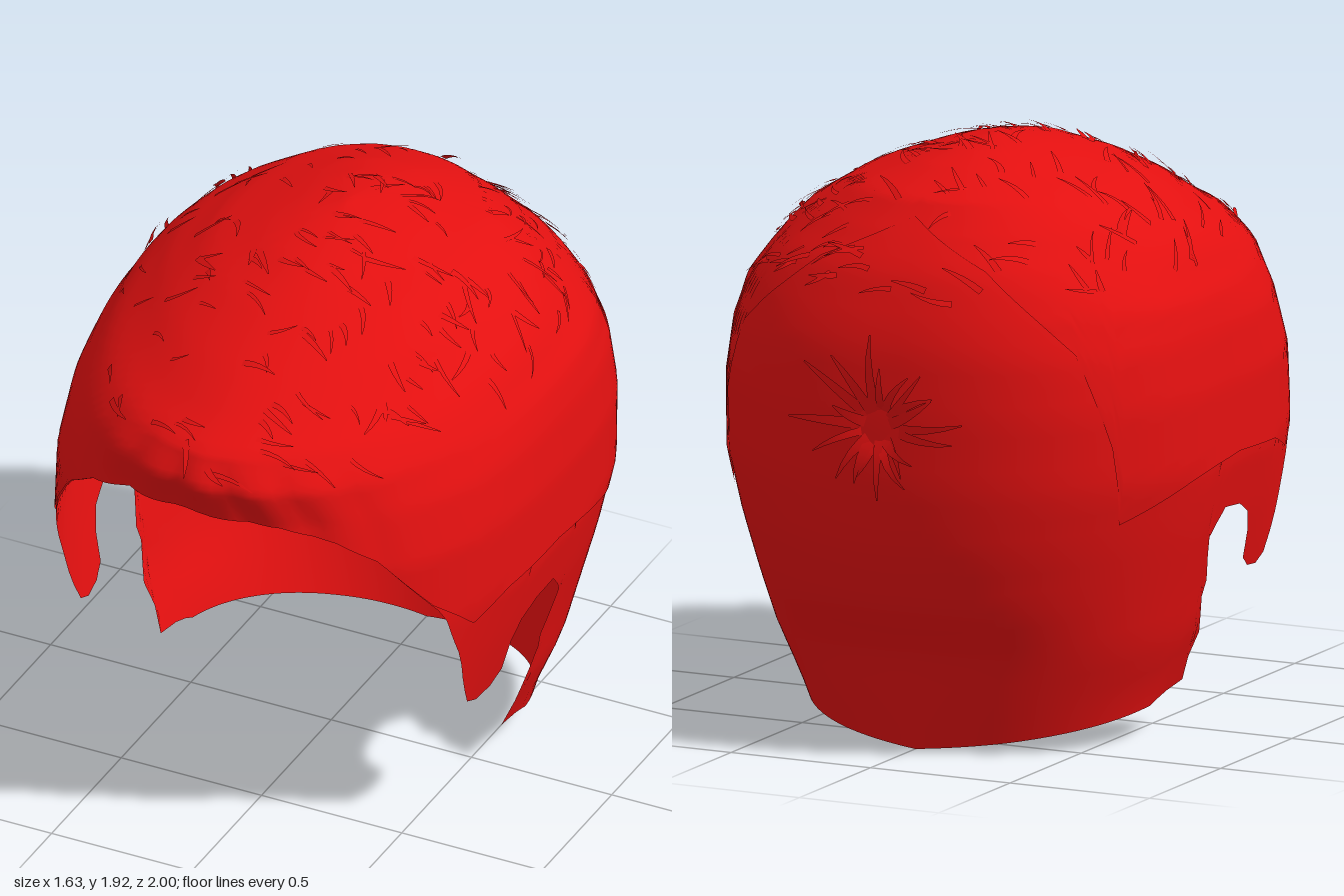
import * as THREE from 'three';
import { mergeVertices, mergeGeometries } from 'three/addons/utils/BufferGeometryUtils.js';

// Horizontal sections: height, half width, front z, back z, squareness in front, squareness behind
const SECTIONS = [
  [1.905, 0, -0.12, -0.12, 2, 2.2], [1.885, 0.12, 0.05, -0.32, 2, 2.2], [1.855, 0.22, 0.22, -0.45, 2, 2.2],
  [1.785, 0.41, 0.42, -0.64, 1.9, 2.2], [1.69, 0.56, 0.64, -0.74, 1.8, 2.2], [1.6, 0.65, 0.82, -0.81, 1.8, 2.3],
  [1.55, 0.69, 0.94, -0.84, 1.8, 2.3], [1.45, 0.75, 0.98, -0.89, 2, 2.4], [1.33, 0.785, 0.94, -0.92, 2.3, 2.5],
  [1.15, 0.81, 0.95, -0.94, 2.5, 2.5], [0.9, 0.81, 0.95, -0.945, 2.6, 2.45], [0.7, 0.77, 1.06, -0.925, 2.5, 2.35],
  [0.5, 0.72, 1.25, -0.87, 2.4, 2.3], [0.33, 0.68, 1.25, -0.785, 2.3, 2.3], [0.16, 0.61, 1.25, -0.735, 2.2, 2.2],
  [0, 0.57, 1.25, -0.685, 2, 2],
];
const TOP = 1.905, MID = -0.12;

// Hem lines as [z, y], running from the brow past the ear to the nape
const BASE_HEM = [
  [0.94, 1.33], [0.9, 1.325], [0.83, 1.27], [0.76, 1.19], [0.6, 0.95], [0.51, 0.75], [0.41, 0.5], [0.35, 0.475],
  [0.27, 0.485], [0.215, 0.52], [0.2, 0.62], [0.16, 0.69], [0.08, 0.73], [-0.03, 0.74], [-0.08, 0.69],
  [-0.12, 0.64], [-0.05, 0.5], [-0.065, 0.42], [-0.015, 0.32], [-0.03, 0.2], [0, 0.155], [-0.2, 0.105],
  [-0.45, 0.07], [-0.62, 0.035], [-0.685, 0],
];
const CROWN_HEM = [
  [0.94, 1.33], [0.9, 1.325], [0.83, 1.27], [0.76, 1.19], [0.62, 0.98], [0.46, 0.84], [0.3, 0.9],
  [0, 0.92], [-0.3, 0.88], [-0.6, 0.78], [-0.65, 1.04], [-0.72, 1.35], [-0.76, 1.6], [-0.7, 1.74],
];

let seed = 7;
const rand = (lo = 0, hi = 1) => {
  seed = (seed * 16807) % 2147483647;
  return lo + (hi - lo) * seed / 2147483647;
};

function section(y) {
  let i = 0;
  while (i < SECTIONS.length - 2 && SECTIONS[i + 1][0] > y) i++;
  const p = SECTIONS[i], q = SECTIONS[i + 1];
  const t = THREE.MathUtils.clamp((p[0] - y) / (p[0] - q[0]), 0, 1);
  return [1, 2, 3, 4, 5].map(k => p[k] + (q[k] - p[k]) * t);
}

// Point on the hair surface at angle a (0 = front, + = left) and height y
function surface(a, y, lift = 0) {
  const [w, front, back, powerFront, powerBack] = section(y);
  const c = Math.cos(a), s = Math.sin(a);
  const reach = c > 0 ? front - MID : MID - back;
  const power = c > 0 ? powerFront : powerBack;
  // Soft locks in the fringe and gentle waves over the crown
  const fringe = Math.max(0, 1 - Math.abs(a) / 0.9) * THREE.MathUtils.smoothstep(1.56 - y, 0, 0.1);
  const wave = 0.006 * Math.sin(y * 24 + Math.cos(a) * 5) * THREE.MathUtils.smoothstep(y, 1.3, 1.55);
  const k = 1 + wave + 0.022 * fringe * (Math.abs(Math.sin(13 * a + 3 * y)) - 0.4) + lift;
  return new THREE.Vector3(
    k * w * Math.sign(s) * Math.abs(s) ** (2 / power), y + lift * 0.4,
    MID + k * reach * Math.sign(c) * Math.abs(c) ** (2 / power));
}

function angleAt(z, y) {
  const [, front, back, powerFront, powerBack] = section(y);
  const r = z > MID ? (z - MID) / (front - MID) : (z - MID) / (MID - back);
  const power = z > MID ? powerFront : powerBack;
  return Math.acos(THREE.MathUtils.clamp(Math.sign(r) * Math.abs(r) ** (power / 2), -1, 1));
}

// Columns of the surface from the apex down to a hem
function shell(hem, lift) {
  // Each key: hem angle, hem height, angle above the ear notch
  const key = hem.map(([z, y]) => [angleAt(z, y), y, 0]);
  key[0][0] = 0;
  key[key.length - 1][0] = Math.PI;
  for (let i = 1; i < key.length; i++) key[i][2] = Math.max(key[i][0], key[i - 1][2] + 0.001);
  const half = [];
  for (let i = 0; i < key.length - 1; i++) {
    const n = Math.max(2, Math.ceil((key[i + 1][2] - key[i][2]) / 0.045));
    for (let j = 0; j < n; j++) half.push([0, 1, 2].map(k => key[i][k] + (key[i + 1][k] - key[i][k]) * j / n));
  }
  half.push(key[key.length - 1]);
  const columns = [...half.slice(1).reverse().map(([a, y, up]) => [-a, y, -up]), ...half];
  const ROWS = 40, pos = [], index = [];
  columns.forEach(([a, low, up], i) => {
    for (let j = 0; j <= ROWS; j++) {
      const y = TOP - (TOP - low) * (j / ROWS) ** 1.5;
      // Columns lean forward below the ear notch
      const lean = low < 0.75 ? Math.max(0, (0.75 - y) / (0.75 - low)) ** 2 : 1;
      pos.push(...surface(up + (a - up) * lean, y, lift).toArray());
      if (i && j) {
        const d = i * (ROWS + 1) + j, b = d - ROWS - 1;
        index.push(b - 1, b, d - 1, b, d, d - 1);
      }
    }
  });
  let g = new THREE.BufferGeometry();
  g.setAttribute('position', new THREE.Float32BufferAttribute(pos, 3));
  g.setIndex(index);
  g = mergeVertices(g, 1e-5);
  g.computeVertexNormals();
  return g;
}

// Thin tapering blade that leaves the surface at its tip
function blade(p, n, dir, length, width, rise, bend) {
  const side = new THREE.Vector3().crossVectors(n, dir).normalize();
  const pos = [], index = [], N = 4;
  for (let i = 0; i <= N; i++) {
    const u = i / N, half = width * (1 - 0.85 * u * u) * 0.5;
    const c = p.clone().addScaledVector(dir, length * u)
      .addScaledVector(n, rise * u * (1.4 - u)).addScaledVector(side, bend * u * u);
    pos.push(...c.clone().addScaledVector(side, -half).toArray(), ...c.addScaledVector(side, half).toArray());
    if (i) index.push(2 * i - 2, 2 * i, 2 * i - 1, 2 * i - 1, 2 * i, 2 * i + 1);
  }
  const g = new THREE.BufferGeometry();
  g.setAttribute('position', new THREE.Float32BufferAttribute(pos, 3));
  g.setIndex(index);
  g.computeVertexNormals();
  return g;
}

function strandAt(a, y, heading, length, width, rise) {
  const p = surface(a, y, 0.01);
  const n = new THREE.Vector3().crossVectors(
    surface(a, y - 0.02).sub(surface(a, y + 0.004)), surface(a + 0.04, y).sub(surface(a - 0.04, y))).normalize();
  const dir = heading.clone().addScaledVector(n, -heading.dot(n)).normalize();
  return blade(p, n, dir, length, width, rise, rand(-0.04, 0.04));
}

export function createModel() {
  const group = new THREE.Group();
  const red = new THREE.MeshStandardMaterial({ color: 0xe31010, side: THREE.DoubleSide });
  red.name = 'red hair';
  const add = (name, geometry) => {
    const mesh = new THREE.Mesh(geometry, red);
    mesh.name = name;
    group.add(mesh);
  };

  add('hairBase', shell(BASE_HEM, 0));
  add('crownLayer', shell(CROWN_HEM, 0.006));

  // Loose strands over the crown, swept sideways in front and back behind
  const strands = [];
  for (let i = 0; i < 190; i++) {
    const a = rand(-Math.PI, Math.PI), y = 1.895 - 0.4 * rand() ** 1.2;
    const heading = new THREE.Vector3(rand(0.2, 1), rand(-0.3, 0.1), Math.cos(a) > 0 ? rand(-0.1, 0.6) : rand(-0.6, 0.9));
    strands.push(strandAt(a, y, heading, rand(0.06, 0.15), rand(0.012, 0.024), rand(0.005, 0.025)));
  }
  add('looseStrands', mergeGeometries(strands));

  // Whorl of strands at the back of the head, rooted just inside the shell
  const whorl = [];
  for (let i = 0; i < 20; i++) {
    const t = i / 20 * Math.PI * 2 + rand(-0.15, 0.15), r = rand(0.02, 0.06);
    const p = new THREE.Vector3(r * Math.cos(t), 1.1 + r * Math.sin(t), -0.935);
    whorl.push(blade(p, new THREE.Vector3(0, 0, -1), new THREE.Vector3(Math.cos(t), Math.sin(t), 0),
      rand(0.13, 0.27), rand(0.025, 0.04), rand(0.04, 0.08), rand(-0.06, 0.06)));
  }
  add('backWhorl', mergeGeometries(whorl));
  return group;
}
